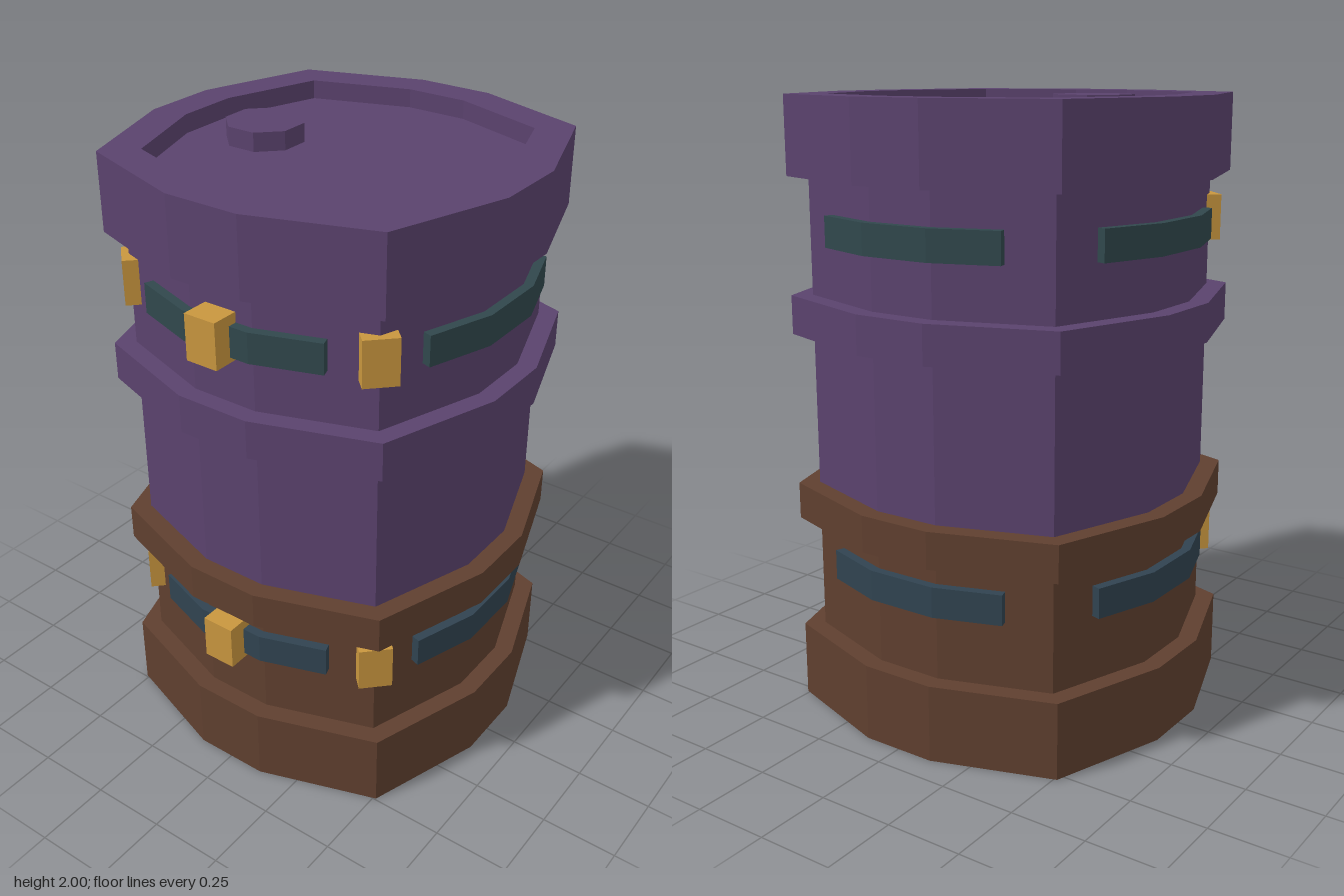
import * as THREE from 'three';

const mat = (name, color) => {
  const m = new THREE.MeshStandardMaterial({ color, flatShading: true });
  m.name = name;
  return m;
};

// Twelve-sided outline of the barrel as [x, z], full size at the rims
const QUARTER = [[0.64, 0.125], [0.51, 0.51], [0.125, 0.64]];
const OUTLINE = [0, 1, 2, 3].flatMap((q) => QUARTER.map(([x, z]) => {
  for (let i = 0; i < q; i++) [x, z] = [-z, x];
  return [x, z];
}));
const BODY = 0.906; // body size relative to the rims

// Sweeps the outline through a profile of [scale, y] levels, listed from bottom to top
function loft(levels) {
  const pos = [];
  const n = OUTLINE.length;
  const at = ([s, y], i) => [OUTLINE[i % n][0] * s, y, OUTLINE[i % n][1] * s];
  for (let l = 0; l < levels.length - 1; l++) {
    const lo = levels[l], hi = levels[l + 1];
    for (let i = 0; i < n; i++) {
      const a = at(lo, i), b = at(lo, i + 1), c = at(hi, i + 1), d = at(hi, i);
      if (lo[0] > 0) pos.push(...a, ...c, ...b);
      if (hi[0] > 0) pos.push(...a, ...d, ...c);
    }
  }
  const g = new THREE.BufferGeometry();
  g.setAttribute('position', new THREE.Float32BufferAttribute(pos, 3));
  g.computeVertexNormals();
  return g;
}

// Strap segment bent around one side of the body, facing +z
function strapGeometry(height) {
  const shape = new THREE.Shape([
    [-0.33, 0.539], [-0.119, 0.61], [0.119, 0.61], [0.33, 0.539],
    [0.318, 0.503], [0.11, 0.573], [-0.11, 0.573], [-0.318, 0.503],
  ].map(([x, z]) => new THREE.Vector2(x, -z)));
  return new THREE.ExtrudeGeometry(shape, { depth: height, bevelEnabled: false })
    .rotateX(-Math.PI / 2).translate(0, -height / 2, 0);
}

export function createModel() {
  const purple = mat('purple paint', 0x5a426d);
  const brown = mat('brown paint', 0x5f3f2f);
  const gold = mat('gold metal', 0xc8963e);
  const teal = mat('dark teal strap', 0x30474c);
  const slate = mat('dark slate strap', 0x304350);

  const model = new THREE.Group();
  model.name = 'barrel';
  const add = (name, geometry, material) => {
    const m = new THREE.Mesh(geometry, material);
    m.name = name;
    model.add(m);
    return m;
  };

  // Lower shell with base rim and hoop
  add('lowerShell', loft([
    [0, 0], [1, 0], [1, 0.25], [BODY, 0.25], [BODY, 0.63], [1, 0.63], [1, 0.75], [BODY, 0.75],
  ]), brown);

  // Upper shell with hoop, top rim and recessed lid
  add('upperShell', loft([
    [BODY, 0.75], [BODY, 1.25], [1, 1.25], [1, 1.375], [BODY, 1.375], [BODY, 1.75],
    [1, 1.75], [1, 2], [0.82, 2], [0.82, 1.94], [0, 1.94],
  ]), purple);

  // Octagonal bung on the lid
  const bung = add('bung', new THREE.CylinderGeometry(0.126, 0.126, 0.06, 8)
    .rotateY(Math.PI / 8), purple);
  bung.position.set(-0.293, 1.97, 0);

  // Two rows of straps on four sides, with clasps on the front and front corners
  const strap = strapGeometry(0.098);
  const frontClasp = new THREE.BoxGeometry(0.11, 0.148, 0.1);
  const cornerClasp = new THREE.BoxGeometry(0.107, 0.148, 0.06);
  for (const [row, y, material] of [['lower', 0.513, slate], ['upper', 1.593, teal]]) {
    for (let i = 0; i < 4; i++) {
      const s = add(row + 'Strap', strap, material);
      s.position.y = y;
      s.rotation.y = i * Math.PI / 2;
    }
    add(row + 'FrontClasp', frontClasp, gold).position.set(0, y + 0.008, 0.62);
    for (const side of [-1, 1]) {
      const c = add(row + 'CornerClasp', cornerClasp, gold);
      c.position.set(side * 0.457, y + 0.008, 0.457);
      c.rotation.y = side * Math.PI / 4;
    }
  }

  // Centre the depth, since the front clasps stick out
  for (const part of model.children) part.position.z -= 0.015;
  return model;
}
